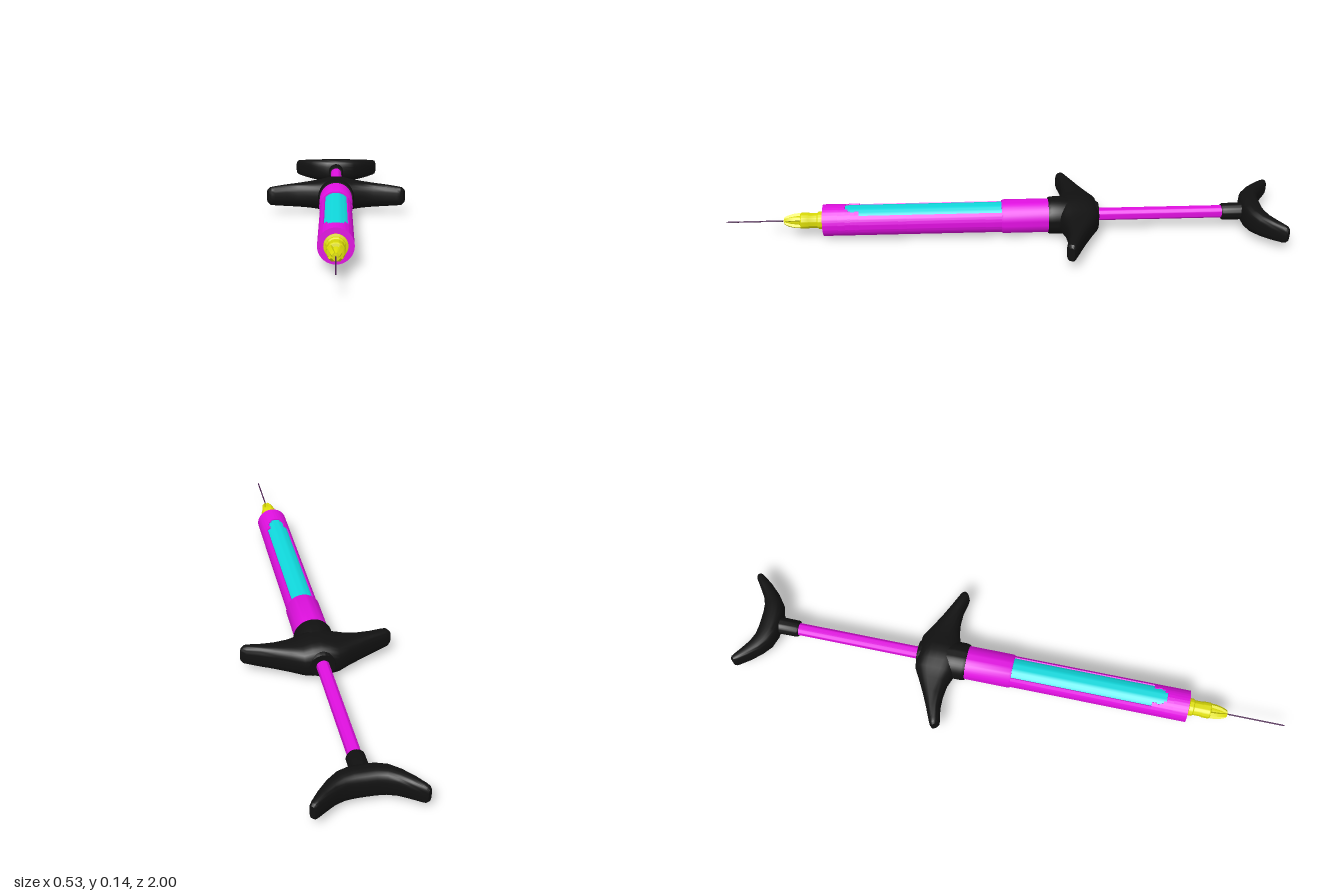
import * as THREE from 'three';
import { toCreasedNormals } from 'three/addons/utils/BufferGeometryUtils.js';

const paint = (color) => new THREE.MeshStandardMaterial({ color });

export function createModel() {
  const model = new THREE.Group();
  const axis = new THREE.Group(); // everything lies along z at this height
  axis.name = 'syringe';
  axis.position.y = 0.07;
  model.add(axis);

  const black = paint(0x111111);
  const magenta = paint(0xe010e0);
  const cyan = paint(0x10d8dc);
  const yellow = paint(0xdcdc08);
  const steel = paint(0x4a2050);

  function add(name, geometry, material, parent = axis) {
    const mesh = new THREE.Mesh(toCreasedNormals(geometry, 0.6), material);
    mesh.name = name;
    parent.add(mesh);
    return mesh;
  }

  // Turned part: profile of [radius, z] with z rising
  function turned(name, profile, material, sides = 48) {
    const points = profile.map(([r, z]) => new THREE.Vector2(r, z));
    return add(name, new THREE.LatheGeometry(points, sides).rotateX(Math.PI / 2), material);
  }

  // Lofted grip, mirrored in x. Station: [back x, back z, front x, front z, half height]
  function grip(name, half, material) {
    const mirrored = half.slice(1).reverse().map(([a, b, c, d, h]) => [-a, b, -c, d, h]);
    const stations = [...mirrored, ...half];
    const flat = ([a, b, c, d]) => [(a + c) / 2, (b + d) / 2, (a + c) / 2, (b + d) / 2, 0];
    stations.unshift(flat(stations[0]));
    stations.push(flat(stations[stations.length - 1]));
    const n = 28, pos = [], index = [];
    const soft = (v) => Math.sign(v) * Math.pow(Math.abs(v), 0.7);
    stations.forEach(([bx, bz, fx, fz, h], i) => {
      for (let j = 0; j < n; j++) {
        const t = (j / n) * Math.PI * 2;
        const c = soft(Math.cos(t)) / 2, s = soft(Math.sin(t));
        pos.push((bx + fx) / 2 + (fx - bx) * c, h * s, (bz + fz) / 2 + (fz - bz) * c);
        if (i === stations.length - 1) continue;
        const a = i * n + j, b = i * n + ((j + 1) % n);
        index.push(a, a + n, b, b, a + n, b + n);
      }
    });
    const g = new THREE.BufferGeometry();
    g.setAttribute('position', new THREE.Float32BufferAttribute(pos, 3));
    g.setIndex(index);
    return add(name, g, material);
  }

  // Barrel sleeve with a long window above and two slots below:
  // [z start, z end, half width of top gap, half width of bottom gap]
  const sleeve = new THREE.Group();
  sleeve.name = 'barrelSleeve';
  axis.add(sleeve);
  const R = 0.057, inner = 0.049;
  const segments = [
    [0.0, 0.07, 0.041, 0], [0.07, 0.35, 0.041, 0.02], [0.35, 0.38, 0.041, 0],
    [0.38, 0.52, 0.041, 0.02], [0.52, 0.535, 0.028, 0.02], [0.535, 0.55, 0.031, 0.02],
    [0.55, 0.56, 0.027, 0.02], [0.56, 0.57, 0.018, 0.02], [0.57, 0.595, 0, 0.02],
    [0.595, 0.65, 0, 0],
  ];
  for (const [z0, z1, top, bottom] of segments) {
    const up = Math.asin(top / R), down = Math.asin(bottom / R);
    for (const side of [0, 1]) {
      const a0 = side ? Math.PI / 2 + up : -Math.PI / 2 + down;
      const a1 = side ? Math.PI * 1.5 - down : Math.PI / 2 - up;
      const shape = new THREE.Shape();
      shape.absarc(0, 0, R, a0, a1, false);
      shape.absarc(0, 0, inner, a1, a0, true);
      const g = new THREE.ExtrudeGeometry(shape, { depth: z1 - z0, bevelEnabled: false, curveSegments: 24 });
      add('sleevePart', g.translate(0, 0, z0), magenta, sleeve);
    }
  }
  turned('barrelRear', [[0, -0.17], [0.061, -0.17], [0.061, 0.004], [0.058, 0.01], [0, 0.01]], magenta);
  turned('barrelNose', [[0, 0.6], [0.05, 0.6], [0.05, 0.648], [0, 0.648]], magenta);
  turned('cartridge', [[0, 0.005], [0.0525, 0.005], [0.0525, 0.6], [0, 0.6]], cyan);

  // Needle hub with four tapering fins
  turned('needleHub', [
    [0, 0.645], [0.038, 0.645], [0.038, 0.652], [0.031, 0.654], [0.031, 0.668], [0.027, 0.672],
    [0.027, 0.7], [0.029, 0.704], [0.029, 0.728], [0.026, 0.732], [0.018, 0.734],
    [0.014, 0.765], [0.008, 0.792], [0, 0.792],
  ], yellow);
  const fin = new THREE.Shape();
  fin.moveTo(0, 0.725);
  fin.lineTo(0.027, 0.725);
  fin.lineTo(0.026, 0.748);
  fin.quadraticCurveTo(0.022, 0.775, 0.012, 0.79);
  fin.lineTo(0, 0.79);
  for (let i = 0; i < 4; i++) {
    const g = new THREE.ExtrudeGeometry(fin, { depth: 0.012, bevelEnabled: false, curveSegments: 6 });
    g.translate(0, 0, -0.006).rotateX(Math.PI / 2).rotateZ((i * Math.PI) / 2 + Math.PI / 4);
    add('hubFin', g, yellow);
  }
  turned('needle', [[0, 0.78], [0.0025, 0.78], [0.0025, 0.99], [0, 1]], steel, 10);

  // Finger flange: collar and swept wings
  turned('flangeCollar', [
    [0, -0.34], [0.044, -0.34], [0.049, -0.33], [0.063, -0.24], [0.068, -0.205],
    [0.068, -0.168], [0.065, -0.158], [0, -0.158],
  ], black);
  grip('fingerFlange', [
    [0, -0.34, 0, -0.185, 0.067],
    [0.03, -0.34, 0.03, -0.187, 0.064],
    [0.06, -0.338, 0.06, -0.195, 0.056],
    [0.1, -0.315, 0.1, -0.21, 0.05],
    [0.15, -0.288, 0.145, -0.216, 0.045],
    [0.2, -0.264, 0.19, -0.215, 0.041],
    [0.245, -0.244, 0.232, -0.206, 0.036],
    [0.257, -0.238, 0.245, -0.205, 0.034],
    [0.265, -0.23, 0.256, -0.211, 0.025],
  ], black);

  // Plunger rod and thumb rest
  turned('plungerRod', [[0, -0.86], [0.0225, -0.86], [0.0225, -0.33], [0, -0.33]], magenta, 32);
  turned('thumbStem', [
    [0, -0.9], [0.036, -0.9], [0.031, -0.865], [0.03, -0.795], [0.027, -0.79], [0, -0.79],
  ], black, 32);
  grip('thumbRest', [
    [0, -0.934, 0, -0.858, 0.048],
    [0.03, -0.934, 0.04, -0.86, 0.048],
    [0.06, -0.938, 0.08, -0.873, 0.046],
    [0.09, -0.95, 0.115, -0.9, 0.042],
    [0.12, -0.97, 0.148, -0.936, 0.038],
    [0.148, -0.99, 0.172, -0.968, 0.034],
    [0.158, -0.997, 0.179, -0.979, 0.031],
    [0.167, -0.999, 0.18, -0.987, 0.023],
  ], black);

  return model;
}
